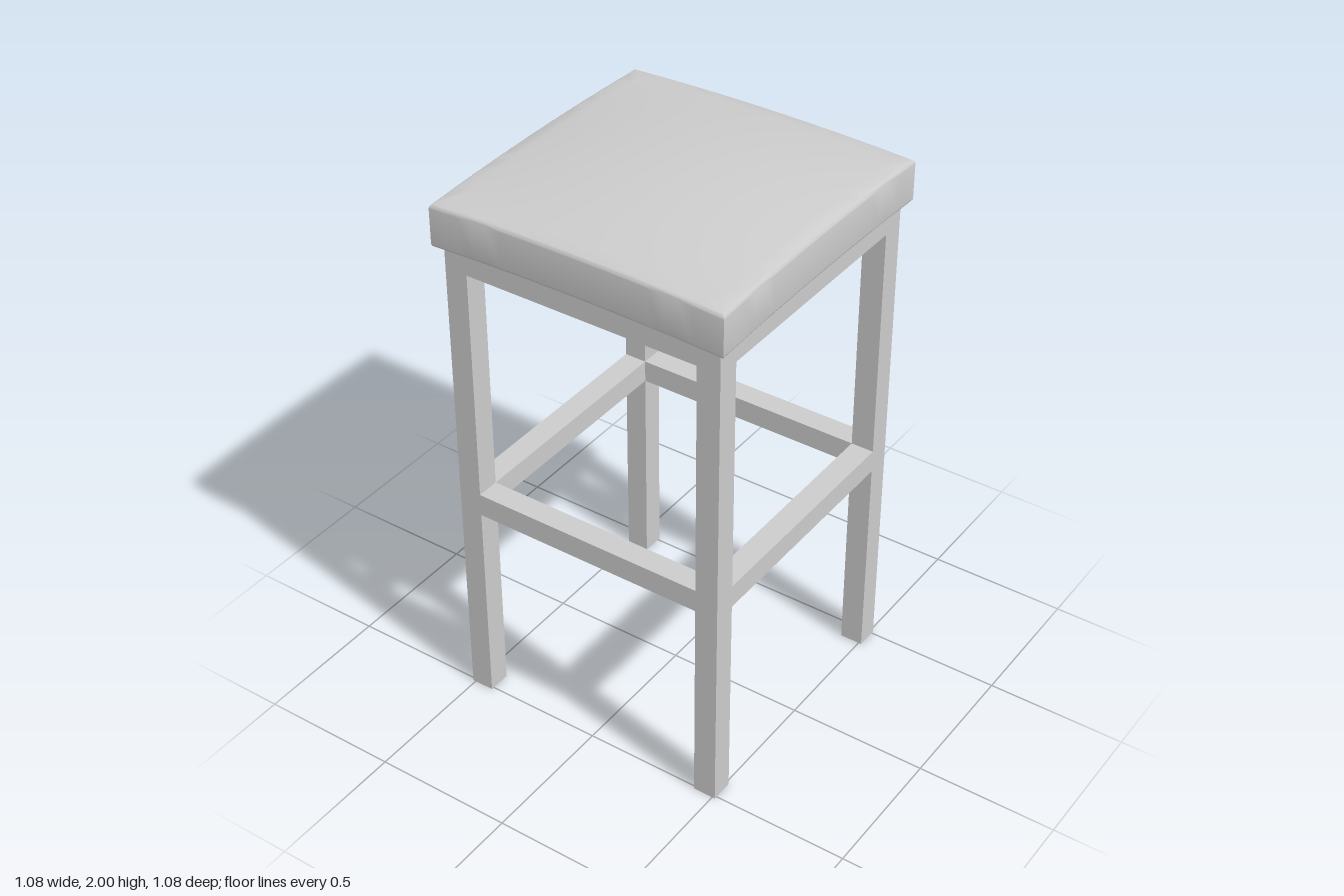
import * as THREE from 'three';
import { mergeGeometries, toCreasedNormals } from 'three/addons/utils/BufferGeometryUtils.js';
import { ParametricGeometry } from 'three/addons/geometries/ParametricGeometry.js';

const material = new THREE.MeshStandardMaterial({ color: 0xcccccc });
const BAR = 0.083;        // square tube width
const OFFSET = 0.469;     // tube centre line from the axis
const FRAME_TOP = 1.794;
const SEAT_HALF = 0.538;

function box(name, w, h, d, x, y, z) {
  const mesh = new THREE.Mesh(new THREE.BoxGeometry(w, h, d), material);
  mesh.name = name;
  mesh.position.set(x, y, z);
  return mesh;
}

// Cushion: four mitred wedges, each a profile swept along one side of the square
function cushionGeometry() {
  const low = 1.787, high = 1.94, r = 0.014;
  const profile = []; // [distance from axis, height, dome amount]
  for (const k of [0, 0.5, 1]) profile.push([k * (SEAT_HALF - r), low, 0]);
  for (let i = 1; i <= 4; i++) {
    const a = (i / 4) * Math.PI / 2;
    profile.push([SEAT_HALF - r + r * Math.sin(a), low + r - r * Math.cos(a), 0]);
  }
  for (let i = 0; i <= 4; i++) {
    const a = (i / 4) * Math.PI / 2;
    profile.push([SEAT_HALF - r + r * Math.cos(a), high - r + r * Math.sin(a), 1]);
  }
  for (let i = 11; i >= 0; i--) profile.push([(i / 12) * (SEAT_HALF - r), high, 1]);

  const n = profile.length - 1;
  const wedge = new ParametricGeometry((u, v, target) => {
    const [s, y, dome] = profile[Math.min(n, Math.max(0, Math.round(v * n)))];
    const x = s * (2 * u - 1);
    const a = 1 - (x / SEAT_HALF) ** 2;
    const b = 1 - (s / SEAT_HALF) ** 2;
    target.set(x, y + 0.013 * (a + b) + dome * 0.034 * a * b, s);
  }, 20, n);

  const sides = [0, 1, 2, 3].map(i => wedge.clone().rotateY(i * Math.PI / 2));
  return toCreasedNormals(mergeGeometries(sides), 0.6);
}

export function createModel() {
  const stool = new THREE.Group();
  stool.name = 'stool';

  // Legs
  for (const x of [-1, 1]) {
    for (const z of [-1, 1]) {
      const name = (z > 0 ? 'front' : 'back') + (x > 0 ? 'Left' : 'Right') + 'Leg';
      stool.add(box(name, BAR, FRAME_TOP, BAR, x * OFFSET, FRAME_TOP / 2, z * OFFSET));
    }
  }

  // Seat rails and footrest rails between the legs
  const span = 2 * OFFSET - BAR;
  for (const [kind, y] of [['SeatRail', FRAME_TOP - BAR / 2], ['FootRail', 0.817]]) {
    for (const s of [-1, 1]) {
      stool.add(box((s > 0 ? 'front' : 'back') + kind, span, BAR, BAR, 0, y, s * OFFSET));
      stool.add(box((s > 0 ? 'left' : 'right') + kind, BAR, BAR, span, s * OFFSET, y, 0));
    }
  }

  // Domed cushion
  const seat = new THREE.Mesh(cushionGeometry(), material);
  seat.name = 'seatCushion';
  stool.add(seat);
  return stool;
}
